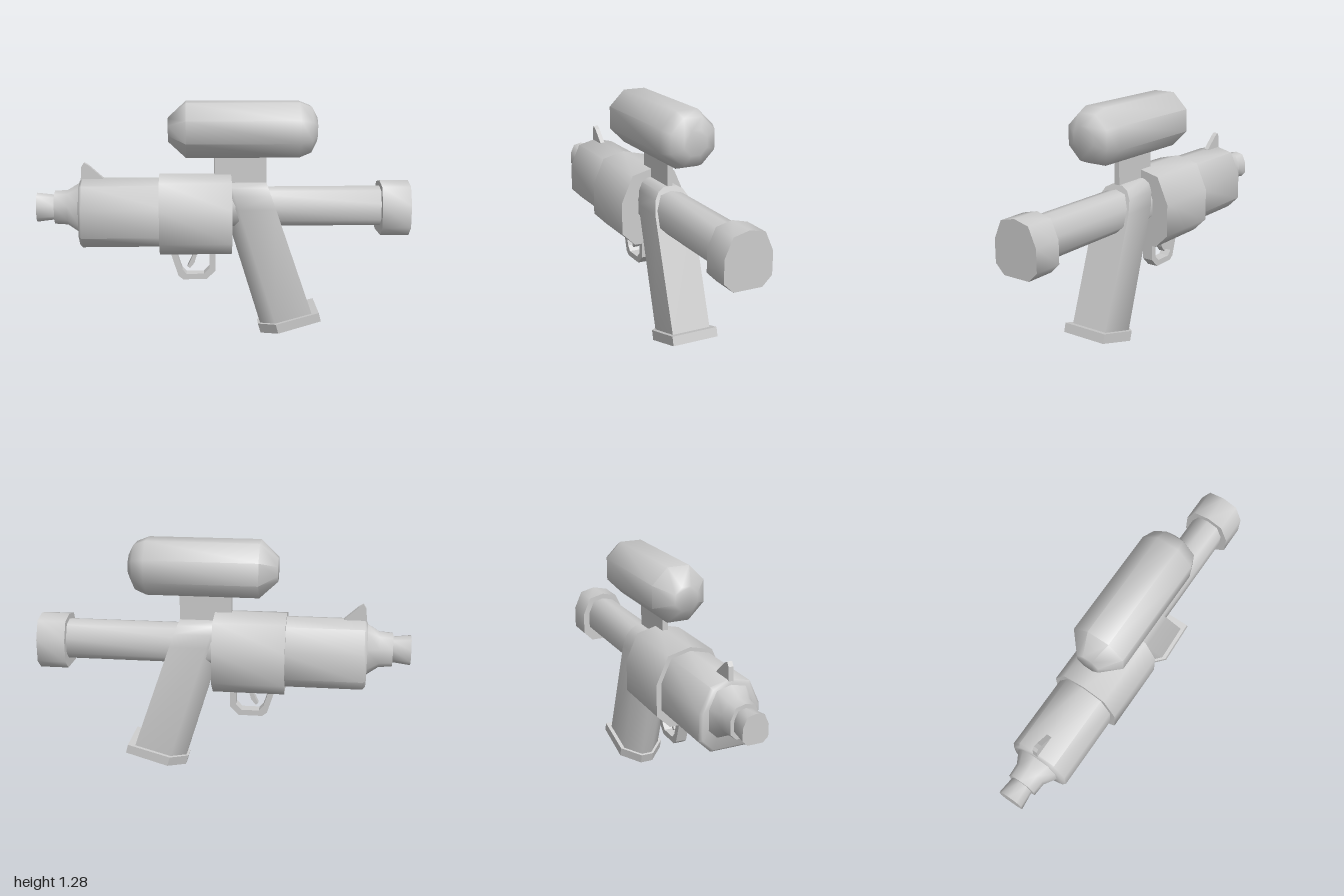
import * as THREE from 'three';
import { toCreasedNormals } from 'three/addons/utils/BufferGeometryUtils.js';

// Skin a list of equal-length rings [[x,y,z],...] and close both ends.
function loft(rings, crease = 1.0) {
  const n = rings[0].length, idx = [];
  for (let r = 0; r < rings.length - 1; r++) {
    for (let i = 0; i < n; i++) {
      const a = r * n + i, b = r * n + (i + 1) % n;
      idx.push(a, b, b + n, a, b + n, a + n);
    }
  }
  const last = (rings.length - 1) * n;
  for (let i = 1; i < n - 1; i++) {
    idx.push(0, i + 1, i, last, last + i, last + i + 1);
  }
  const geo = new THREE.BufferGeometry();
  geo.setAttribute('position', new THREE.Float32BufferAttribute(rings.flat(2), 3));
  geo.setIndex(idx);
  return toCreasedNormals(geo, crease);
}

// Nine-sided body section (z, y), half width 1, apex on top and flat below.
const half = [[0.66, 0.96], [1, 0.2], [1, -0.73], [0.6, -1.122]];
const section = [[0, 1.122], ...half, ...half.slice().reverse().map(([z, y]) => [-z, y])];

// Regular octagon section with flats on top and sides.
const octagon = Array.from({ length: 8 }, (_, i) => {
  const a = (i + 0.5) * Math.PI / 4, r = 1 / Math.cos(Math.PI / 8);
  return [Math.sin(a) * r, Math.cos(a) * r];
});

// Tube along x through stations [x, half width].
const alongX = (profile, cy, stations) =>
  loft(stations.map(([x, s]) => profile.map(([z, y]) => [x, cy + y * s, z * s])));

// Grip section from a front point to a back point, chamfered towards the front.
function gripRing([fx, fy], [bx, by], w, chamfer = 0.28, nose = 0.28) {
  const at = (t, z) => [fx + (bx - fx) * t, fy + (by - fy) * t, z];
  return [at(chamfer, w), at(1, w), at(1, -w), at(chamfer, -w), at(0, -w * nose), at(0, w * nose)];
}

// Flat side outline extruded symmetrically in z.
function plate(points, depth) {
  const shape = new THREE.Shape(points.map(([x, y]) => new THREE.Vector2(x, y)));
  const geo = new THREE.ExtrudeGeometry(shape, { depth, bevelEnabled: false });
  return geo.translate(0, 0, -depth / 2);
}

export function createModel() {
  const model = new THREE.Group();
  model.name = 'toyWaterBlaster';
  const grey = new THREE.MeshStandardMaterial({ color: 0xcccccc });
  grey.name = 'lightGrey';
  const add = (name, geo) => {
    const mesh = new THREE.Mesh(geo, grey);
    mesh.name = name;
    model.add(mesh);
    return mesh;
  };

  // Main body, sleeve and rear tube
  add('body', alongX(section, 0.70, [[-0.77, 0.147], [-0.755, 0.16], [-0.3, 0.16]]));
  add('sleeve', alongX(section, 0.69, [[-0.345, 0.187], [0.04, 0.187]]));
  add('rearTube', alongX(section, 0.723, [[0, 0.092], [0.86, 0.092]]));
  add('rearCap', alongX(section, 0.712, [[0.845, 0.128], [1, 0.128]]));

  // Nozzle
  add('nozzleCone', alongX(section, 0.725,
    [[-0.905, 0.076], [-0.835, 0.08], [-0.765, 0.118]]));
  add('nozzleTip', alongX(section, 0.725, [[-1, 0.067], [-0.9, 0.057]]));

  // Front sight fin
  add('sight', plate([[-0.765, 0.86], [-0.645, 0.86], [-0.645, 0.88],
    [-0.72, 0.948], [-0.745, 0.963], [-0.76, 0.94]], 0.026));

  // Water tank and its bracket
  add('tank', alongX(octagon, 1.138, [[-0.295, 0.062], [-0.2, 0.145], [0.4, 0.145],
    [0.465, 0.12], [0.497, 0.062]]));
  const bracket = add('tankBracket', new THREE.BoxGeometry(0.28, 0.24, 0.03));
  bracket.position.set(0.09, 0.92, 0);

  // Grip, with a rounded top over the rear tube, and its foot
  add('grip', loft([
    gripRing([0.205, 0.05], [0.48, 0.13], 0.108),
    gripRing([0.0, 0.72], [0.276, 0.72], 0.108),
    gripRing([-0.02, 0.79], [0.251, 0.79], 0.095),
    gripRing([-0.032, 0.83], [0.237, 0.83], 0.07),
    gripRing([-0.038, 0.85], [0.23, 0.85], 0.035),
  ]));
  add('gripFoot', loft([
    gripRing([0.205, 0.002], [0.528, 0.097], 0.129),
    gripRing([0.19, 0.055], [0.515, 0.145], 0.129),
  ], 0.5));

  // Trigger guard and trigger
  add('triggerGuard', plate([[-0.3, 0.5], [-0.248, 0.335], [-0.222, 0.315], [-0.093, 0.315],
    [-0.045, 0.363], [-0.045, 0.5], [-0.077, 0.5], [-0.077, 0.378], [-0.108, 0.346],
    [-0.203, 0.346], [-0.227, 0.373], [-0.268, 0.5]], 0.06));
  add('trigger', plate([[-0.168, 0.5], [-0.172, 0.44], [-0.198, 0.385], [-0.185, 0.375],
    [-0.16, 0.405], [-0.147, 0.45], [-0.145, 0.5]], 0.036));

  return model;
}
